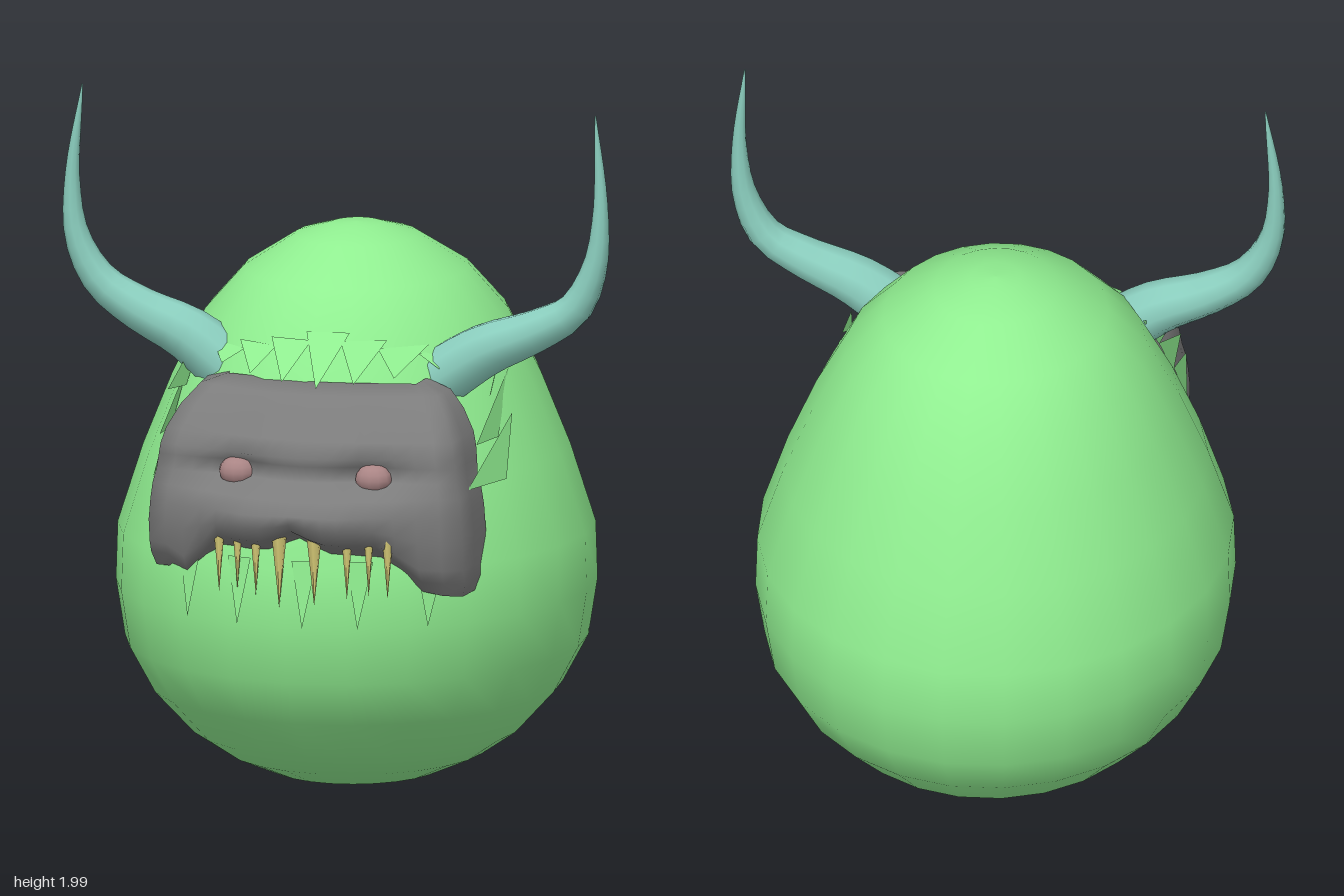
import * as THREE from 'three';

const mat = (color, extra = {}) => new THREE.MeshStandardMaterial({ color, side: THREE.DoubleSide, ...extra });
const GREEN = mat(0x90ee90), GREY = mat(0x7c7c7c), TEAL = mat(0x8cd0c0), BONE = mat(0xd8cc78), PINK = mat(0xaa8585);

// Egg profile, radius and height
const EGG = [[0, 0], [.1, .013], [.235, .04], [.36, .095], [.455, .16], [.565, .28], [.635, .41], [.66, .57], [.655, .73],
  [.585, .95], [.505, 1.15], [.415, 1.33], [.31, 1.45], [.17, 1.54], [.07, 1.57], [0, 1.575]];
const CX = -.033, CZ = -.04, ZS = 1.09;

// Front surface of the egg at a given x and y
function eggZ(x, y) {
  let i = 1;
  while (i < EGG.length - 1 && EGG[i][1] < y) i++;
  const [r0, y0] = EGG[i - 1], [r1, y1] = EGG[i];
  const r = r0 + (r1 - r0) * (y - y0) / (y1 - y0);
  return CZ + ZS * Math.sqrt(Math.max(0, r * r - (x - CX) ** 2));
}

function add(group, name, geometry, material) {
  const mesh = new THREE.Mesh(geometry, material);
  mesh.name = name;
  group.add(mesh);
  return mesh;
}

function surface(points, index) {
  const g = new THREE.BufferGeometry();
  g.setAttribute('position', new THREE.Float32BufferAttribute(points, 3));
  g.setIndex(index);
  g.computeVertexNormals();
  return g;
}

// Curved tube narrowing from its base to a point
function horn(path, radii) {
  const curve = new THREE.CatmullRomCurve3(path.map(p => new THREE.Vector3(...p)));
  const n = 20, sides = 10;
  const g = new THREE.TubeGeometry(curve, n, 1, sides);
  const pos = g.attributes.position, nor = g.attributes.normal;
  for (let i = 0; i <= n; i++) {
    const t = i / n * (radii.length - 1), k = Math.min(Math.floor(t), radii.length - 2);
    const r = THREE.MathUtils.lerp(radii[k], radii[k + 1], t - k);
    const p = curve.getPointAt(i / n);
    for (let j = 0; j <= sides; j++) {
      const v = i * (sides + 1) + j;
      pos.setXYZ(v, p.x + nor.getX(v) * r, p.y + nor.getY(v) * r, p.z + nor.getZ(v) * r);
    }
  }
  return g;
}

// Mask: rows from brow to mouth, columns wrapping round the cheeks
function faceGeometry() {
  // y, half width, z at centre, z at corner, z of back edge, amount of jowl and lip
  const rows = [
    [1.18, .28, .38, .33, .30, 0], [1.225, .27, .47, .43, .33, 0], [1.20, .34, .54, .46, .34, 0],
    [1.15, .38, .59, .52, .35, 0], [1.09, .41, .63, .56, .36, 0], [1.05, .42, .675, .58, .37, 0],
    [1.02, .425, .64, .58, .38, 0], [.98, .43, .655, .585, .39, 0], [.94, .44, .73, .59, .39, 0],
    [.90, .445, .765, .595, .38, .1], [.86, .45, .755, .595, .38, .4], [.82, .45, .73, .585, .39, .8],
    [.80, .45, .69, .57, .40, 1], [.76, .44, .61, .55, .41, 1]];
  const half = [.1, .2, .3, .4, .5, .62, .75, .88, 1];
  const front = [...half.map(f => -f).reverse(), 0, ...half];
  const columns = [[-1, 1], [-1, .5], ...front.map(f => [f, 0]), [1, .5], [1, 1]];
  const points = [], index = [], m = columns.length;
  rows.forEach(([y, w, zc, zs, zb, lip], r) => {
    columns.forEach(([f, back], c) => {
      const a = Math.abs(f), x = f * w, ax = Math.abs(x);
      let z = THREE.MathUtils.lerp(zc, zs, Math.max(0, (a - .3) / .7));
      z -= .012 * Math.min(1, a / .3);
      // eye sockets under the brow
      z -= .045 * Math.exp(-(((ax - .19) / .08) ** 2) - ((y - .995) / .035) ** 2) * (1 - back);
      z = THREE.MathUtils.lerp(z, zb, back);
      let py = y - lip * .1 * THREE.MathUtils.smoothstep(ax, .22, .36);
      py += lip * .045 * Math.exp(-((x / .05) ** 2));
      if (x < -.38) py += lip * .04;
      points.push(x * (1 + .02 * back), py, z);
      if (r && c) {
        const d = r * m + c;
        index.push(d - m - 1, d - 1, d - m, d - 1, d, d - m);
      }
    });
  });
  return surface(points, index);
}

// Row of flat pointed tufts: each is [base x, base y, base x, base y, tip x, tip y, tip lift]
function tufts(list) {
  const points = [], index = [];
  list.forEach(([x0, y0, x1, y1, tx, ty, lift], i) => {
    points.push(x0, y0, eggZ(x0, y0) + .006, x1, y1, eggZ(x1, y1) + .006, tx, ty, eggZ(tx, ty) + lift);
    index.push(i * 3, i * 3 + 2, i * 3 + 1);
  });
  return surface(points, index);
}

export function createModel() {
  const model = new THREE.Group();

  // Egg-shaped body
  const egg = new THREE.LatheGeometry(EGG.map(p => new THREE.Vector2(...p)), 24);
  egg.scale(1, 1, ZS).translate(CX, 0, CZ);
  add(model, 'body', egg, GREEN);

  add(model, 'face', faceGeometry(), GREY);

  // Eyes
  for (const s of [-1, 1]) {
    const eye = add(model, s > 0 ? 'leftEye' : 'rightEye', new THREE.SphereGeometry(.05, 12, 8), PINK);
    eye.scale.set(1.05, .85, .9);
    eye.position.set(s * .195 + .003, .988, .592);
  }

  // Horns
  const radii = [.085, .078, .066, .055, .043, .03, .02, .012, .002];
  add(model, 'leftHorn', horn([[.29, 1.21, .25], [.42, 1.295, .25], [.56, 1.355, .245], [.67, 1.42, .24],
    [.73, 1.54, .24], [.748, 1.7, .24], [.732, 1.97, .236]], radii), TEAL);
  add(model, 'rightHorn', horn([[-.30, 1.21, .285], [-.42, 1.30, .29], [-.56, 1.365, .295], [-.67, 1.44, .30],
    [-.735, 1.56, .305], [-.75, 1.72, .305], [-.72, 1.99, .308]], radii), TEAL);

  // Teeth: x, lowest y, radius
  const teeth = new THREE.Group();
  teeth.name = 'teeth';
  for (const [x, low, r] of [[-.225, .66, .016], [-.17, .67, .014], [-.115, .66, .016], [-.045, .63, .022],
    [.055, .64, .022], [.145, .66, .016], [.205, .67, .014], [.257, .665, .016]]) {
    const h = .84 - low;
    const tooth = add(teeth, 'tooth', new THREE.ConeGeometry(r, h, 6), BONE);
    tooth.rotation.x = Math.PI;
    tooth.position.set(x, low + h / 2, .695 - Math.abs(x) * .15);
  }
  model.add(teeth);

  // Hair over the brow, beside the cheeks and below the mouth
  const fringe = [], beard = [], cheeks = [];
  for (let i = 0; i < 7; i++) {
    const x = -.34 + i * .1, ty = 1.215 + Math.abs(i - 3) * .012;
    fringe.push([x - .01, 1.35 - Math.abs(i - 3) * .02, x + .11, 1.35 - Math.abs(i - 3) * .02, x + .05, ty, .045]);
  }
  for (const x of [-.33, -.17, .02, .17, .345])
    beard.push([x - .035, .76, x + .035, .76, x, .575, .012]);
  for (const s of [-1, 1]) {
    for (const y of [1.24, 1.13, 1.02])
      cheeks.push([s * (.40 + (1.24 - y) * .3), y + .08, s * (.42 + (1.24 - y) * .3), y - .08, s * .44, y - .07, .16]);
  }
  add(model, 'fringe', tufts(fringe), GREEN);
  add(model, 'beard', tufts(beard), GREEN);
  add(model, 'cheekHair', tufts(cheeks), GREEN);
  return model;
}
